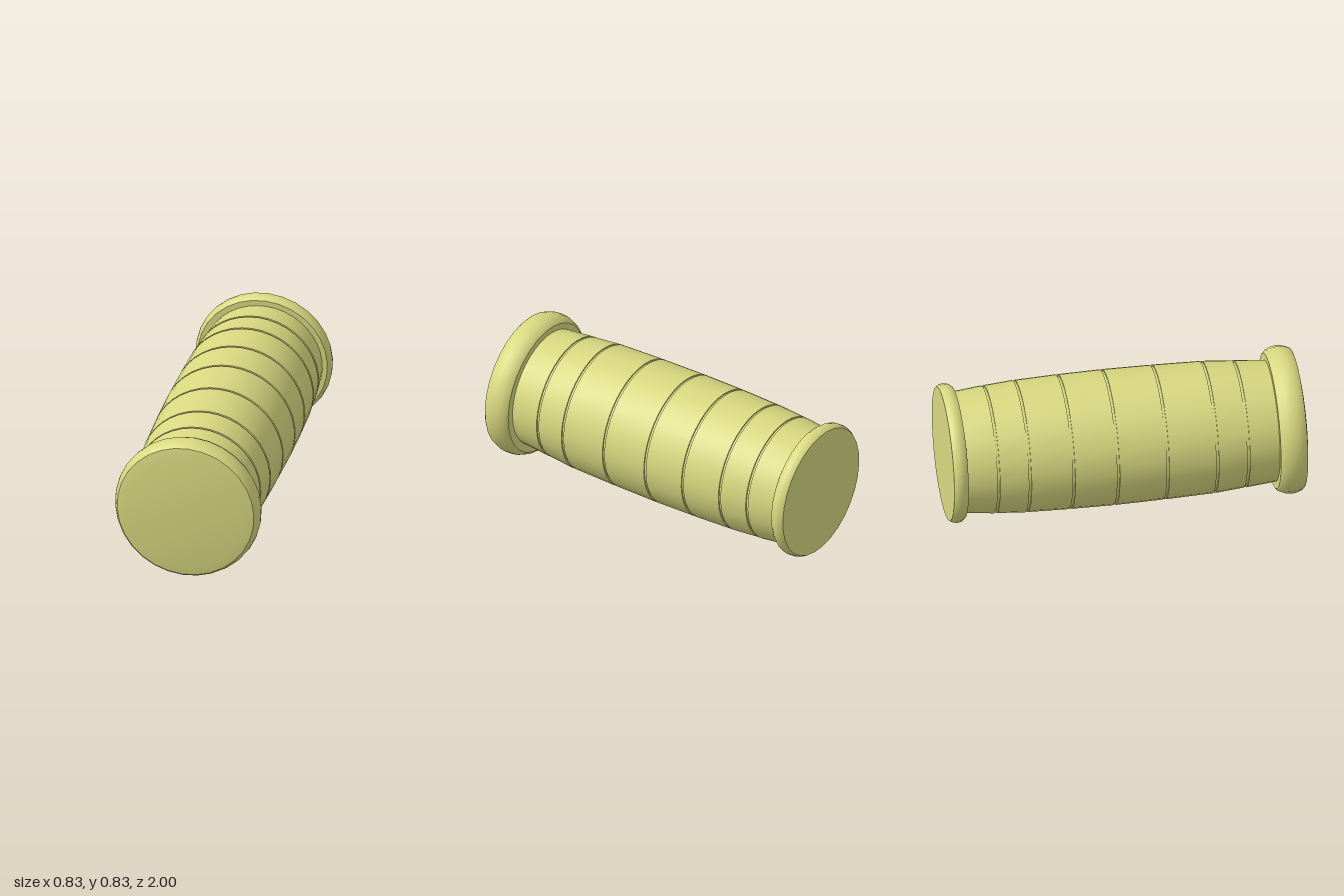
import * as THREE from 'three';
import { toCreasedNormals } from 'three/addons/utils/BufferGeometryUtils.js';

const material = new THREE.MeshStandardMaterial({ color: 0xd8d880 });

// Revolves a [radius, z] profile (back to front) around the z axis.
function turned(name, profile, x, y, sides) {
  const points = profile.map(([r, z]) => new THREE.Vector2(r, z));
  let geometry = new THREE.LatheGeometry(points, sides);
  geometry.rotateX(Math.PI / 2);
  geometry.rotateZ(-0.05);
  geometry = toCreasedNormals(geometry, 0.6);
  const mesh = new THREE.Mesh(geometry, material);
  mesh.name = name;
  mesh.position.set(x, y, 0);
  return mesh;
}

export function createModel() {
  const group = new THREE.Group();
  group.name = 'grip';

  // Barrel-shaped handle: [radius, z] at each groove
  const grooves = [
    [0.357, -0.745], [0.369, -0.57], [0.376, -0.325], [0.379, -0.075],
    [0.376, 0.205], [0.369, 0.485], [0.355, 0.662],
  ];
  const half = 0.007, depth = 0.008;
  const handle = [[0.338, -0.93]];
  for (const [r, z] of grooves) {
    handle.push([r, z - half], [r - depth, z - half], [r - depth, z + half], [r, z + half]);
  }
  handle.push([0.338, 0.86]);
  group.add(turned('handle', handle, -0.005, 0.422, 40));

  // Wide front collar with a slightly raised face
  group.add(turned('frontCollar', [
    [0, 0.84], [0.38, 0.84], [0.395, 0.852], [0.41, 0.885], [0.415, 0.92],
    [0.411, 0.95], [0.4, 0.98], [0.39, 0.99], [0.33, 1], [0, 1],
  ], -0.002, 0.418, 30));

  // Slim back collar with a flat end
  group.add(turned('backCollar', [
    [0, -1], [0.376, -1], [0.386, -0.985], [0.39, -0.962],
    [0.386, -0.938], [0.37, -0.918], [0, -0.918],
  ], -0.007, 0.424, 30));

  return group;
}
